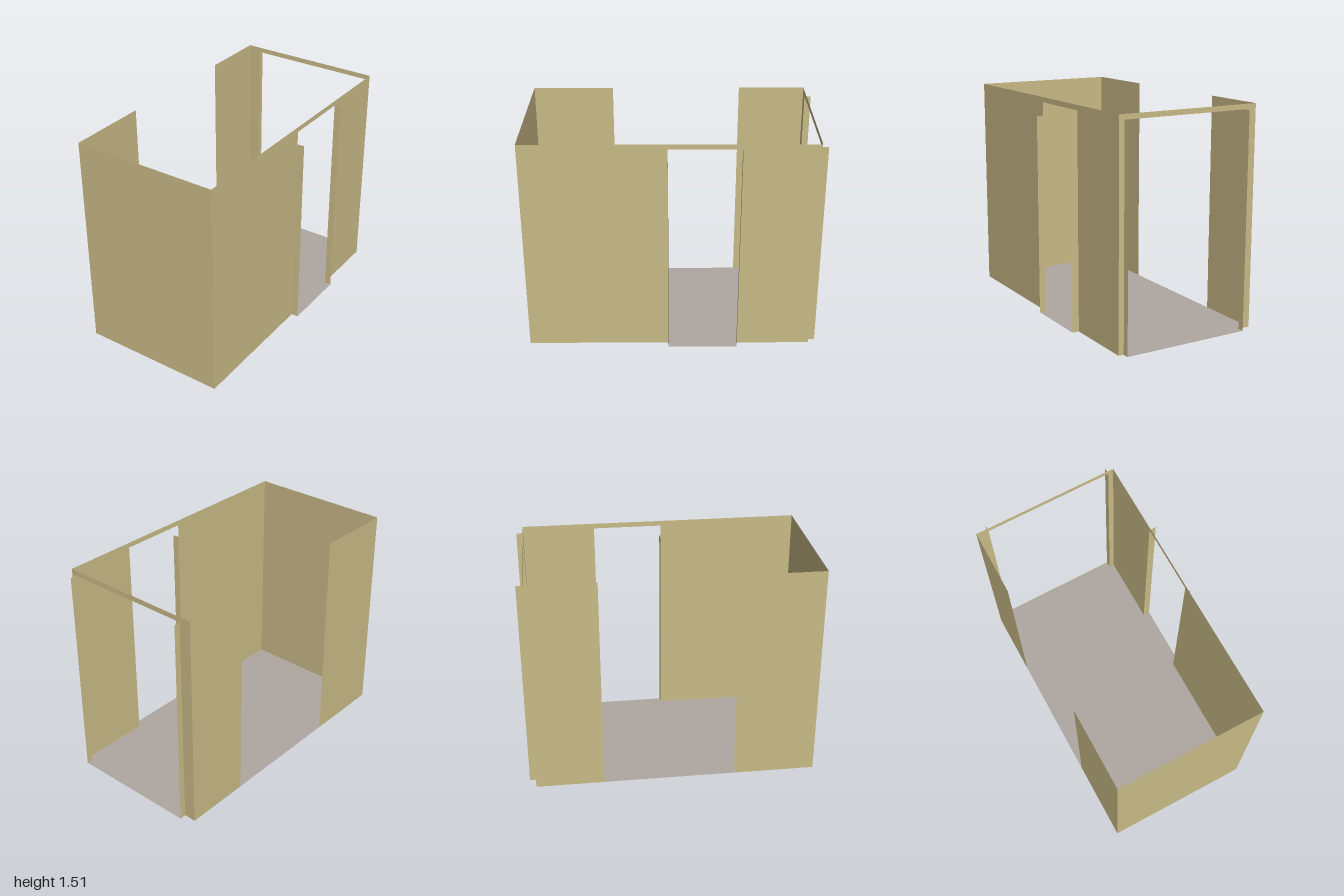
import * as THREE from 'three';

const HEIGHT = 1.51;   // wall top
const HEAD = 1.475;    // underside of the door lintels

// Floor outline corners as [x, z]
const P = {
  backLeft: [-0.527, -0.957], openLeft: [-0.442, -0.955], revealLeft: [-0.442, -1],
  revealRight: [0.461, -0.992], openRight: [0.461, -0.947], backRight: [0.498, -0.945],
  doorBack: [0.493, -0.441], doorBackOut: [0.541, -0.44],
  doorFrontOut: [0.535, 0.034], doorFront: [0.487, 0.036],
  frontRight: [0.477, 1], frontLeft: [-0.547, 0.985],
};

export function createModel() {
  const room = new THREE.Group();
  room.name = 'roomShell';

  const wallPaint = new THREE.MeshStandardMaterial({ color: 0xc9ba87, side: THREE.DoubleSide });
  wallPaint.name = 'wallPaint';
  const floorGrey = new THREE.MeshStandardMaterial({ color: 0xb0a8a1, side: THREE.DoubleSide });
  floorGrey.name = 'floorGrey';

  // Upright sheet between two plan points
  function wall(name, a, b, top = HEIGHT, bottom = 0) {
    const dx = b[0] - a[0], dz = b[1] - a[1];
    const geometry = new THREE.PlaneGeometry(Math.hypot(dx, dz), top - bottom);
    geometry.rotateY(Math.atan2(-dz, dx));
    const mesh = new THREE.Mesh(geometry, wallPaint);
    mesh.position.set((a[0] + b[0]) / 2, (top + bottom) / 2, (a[1] + b[1]) / 2);
    mesh.name = name;
    room.add(mesh);
  }

  // Floor, including the doorway thresholds
  const outline = new THREE.Shape(Object.values(P).map(([x, z]) => new THREE.Vector2(x, -z)));
  const floor = new THREE.Mesh(new THREE.ShapeGeometry(outline).rotateX(-Math.PI / 2), floorGrey);
  floor.name = 'floor';
  room.add(floor);

  // Front wall
  wall('frontWall', P.frontLeft, P.frontRight);

  // Side wall with the doorway: two panels, lintel and reveals
  wall('doorWallFront', P.frontRight, P.doorFront);
  wall('doorWallBack', P.doorBack, P.backRight);
  wall('doorLintel', P.doorFront, P.doorBack, HEIGHT, HEAD);
  wall('doorRevealFront', P.doorFront, P.doorFrontOut, 1.385);
  wall('doorRevealBack', P.doorBackOut, P.doorBack, HEAD);

  // Back wall with the wide opening
  wall('backStripRight', P.backRight, P.openRight);
  wall('backStripLeft', P.openLeft, P.backLeft);
  wall('backLintel', P.openRight, P.openLeft, HEIGHT, HEAD);
  wall('backRevealRight', P.openRight, P.revealRight, HEAD);
  wall('backRevealLeft', P.revealLeft, P.openLeft, HEAD);

  // Opposite side wall, open at full height in the middle
  wall('openWallBack', P.backLeft, [-0.532, -0.49]);
  wall('openWallFront', [-0.541, 0.42], P.frontLeft);

  return room;
}
